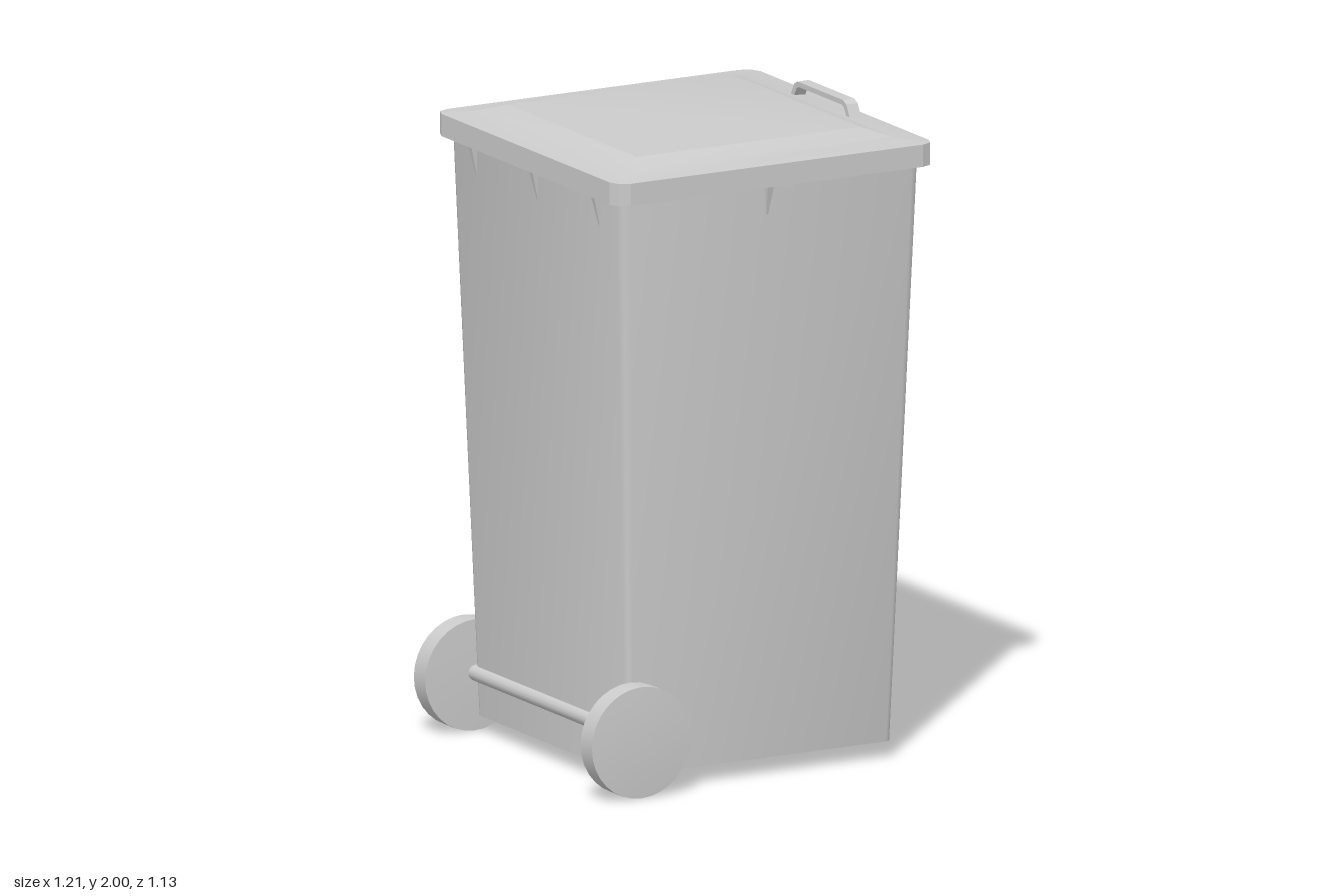
import * as THREE from 'three';
import { toCreasedNormals } from 'three/addons/utils/BufferGeometryUtils.js';

const grey = new THREE.MeshStandardMaterial({ color: 0xcccccc });

function add(parent, name, geometry) {
  const mesh = new THREE.Mesh(geometry, grey);
  mesh.name = name;
  parent.add(mesh);
  return mesh;
}

// Closed loft through rounded rectangles [y, x0, x1, halfDepth, cornerRadius], bottom to top
function loft(rings, crease) {
  const pos = [], idx = [], n = 12;
  for (const [y, x0, x1, hz, r] of rings) {
    for (let q = 0; q < 4; q++) {
      const cx = q === 0 || q === 3 ? x1 - r : x0 + r;
      const cz = q < 2 ? hz - r : r - hz;
      for (let k = 0; k < 3; k++) {
        const a = (q + k / 2) * Math.PI / 2;
        pos.push(cx + r * Math.cos(a), y, cz + r * Math.sin(a));
      }
    }
  }
  for (let i = 0; i < rings.length - 1; i++) {
    for (let j = 0; j < n; j++) {
      const a = i * n + j, b = i * n + (j + 1) % n;
      idx.push(a, a + n, b, b, a + n, b + n);
    }
  }
  const top = (rings.length - 1) * n;
  for (let j = 1; j < n - 1; j++) {
    idx.push(0, j, j + 1, top, top + j + 1, top + j);
  }
  const g = new THREE.BufferGeometry();
  g.setAttribute('position', new THREE.Float32BufferAttribute(pos, 3));
  g.setIndex(idx);
  return toCreasedNormals(g, crease);
}

// Small bracket under the rim, tapering downward and into the wall (outward is +z)
function ribGeometry() {
  const g = new THREE.BoxGeometry(0.022, 0.1, 0.04);
  const p = g.attributes.position;
  for (let i = 0; i < p.count; i++) {
    if (p.getY(i) < 0) {
      p.setX(i, p.getX(i) * 0.3);
      if (p.getZ(i) > 0) p.setZ(i, -0.005);
    }
  }
  return toCreasedNormals(g, 0.3);
}

export function createModel() {
  const bin = new THREE.Group();
  bin.name = 'wheeledBin';

  // Tapered container
  add(bin, 'body', loft([
    [0.055, -0.43, 0.5, 0.465, 0.02],
    [1.89, -0.49, 0.565, 0.53, 0.03],
  ], 0.8));

  // Lid: straight rim, shallow slope, raised centre panel
  add(bin, 'lid', loft([
    [1.875, -0.525, 0.6, 0.565, 0.048],
    [1.945, -0.525, 0.6, 0.565, 0.048],
    [1.955, -0.43, 0.505, 0.47, 0.002],
    [1.98, -0.36, 0.43, 0.395, 0.002],
  ], 0.25));

  // Lid handle: bent flat bar, open underneath
  const outline = new THREE.Shape([
    [-0.185, 1.945], [-0.16, 1.99], [-0.14, 2], [0.14, 2], [0.16, 1.99], [0.185, 1.945],
    [0.165, 1.945], [0.145, 1.978], [0.132, 1.984], [-0.132, 1.984], [-0.145, 1.978], [-0.165, 1.945],
  ].map(([x, y]) => new THREE.Vector2(x, y)));
  const handle = new THREE.ExtrudeGeometry(outline, { depth: 0.04, bevelEnabled: false });
  handle.rotateY(-Math.PI / 2);
  add(bin, 'lidHandle', handle).position.set(0.557, 0, -0.005);

  // Rim brackets: one on front and back, three on each side
  const rib = ribGeometry();
  const addRib = (x, z, turn) => {
    const m = add(bin, 'rimBracket', rib);
    m.position.set(x, 1.83, z);
    m.rotation.y = turn;
  };
  addRib(0.025, 0.532, 0);
  addRib(0.025, -0.532, Math.PI);
  for (const z of [-0.37, 0.005, 0.385]) {
    addRib(0.567, z, Math.PI / 2);
    addRib(-0.492, z, -Math.PI / 2);
  }

  // Axle and wheels
  const axle = new THREE.CylinderGeometry(0.025, 0.025, 0.98, 12);
  axle.rotateX(Math.PI / 2);
  add(bin, 'axle', axle).position.set(-0.43, 0.185, 0);

  const profile = [
    [0, -0.04], [0.1, -0.039], [0.175, -0.036],
    [0.175, 0.034], [0.1, 0.039], [0.05, 0.04], [0, 0.041],
  ].map(([x, y]) => new THREE.Vector2(x, y));
  const wheel = toCreasedNormals(new THREE.LatheGeometry(profile, 32).rotateX(Math.PI / 2), 0.6);
  for (const side of [-1, 1]) {
    const m = add(bin, side > 0 ? 'frontWheel' : 'backWheel', wheel);
    m.position.set(-0.43, 0.177, side * 0.514);
    if (side < 0) m.rotation.y = Math.PI;
  }

  return bin;
}
